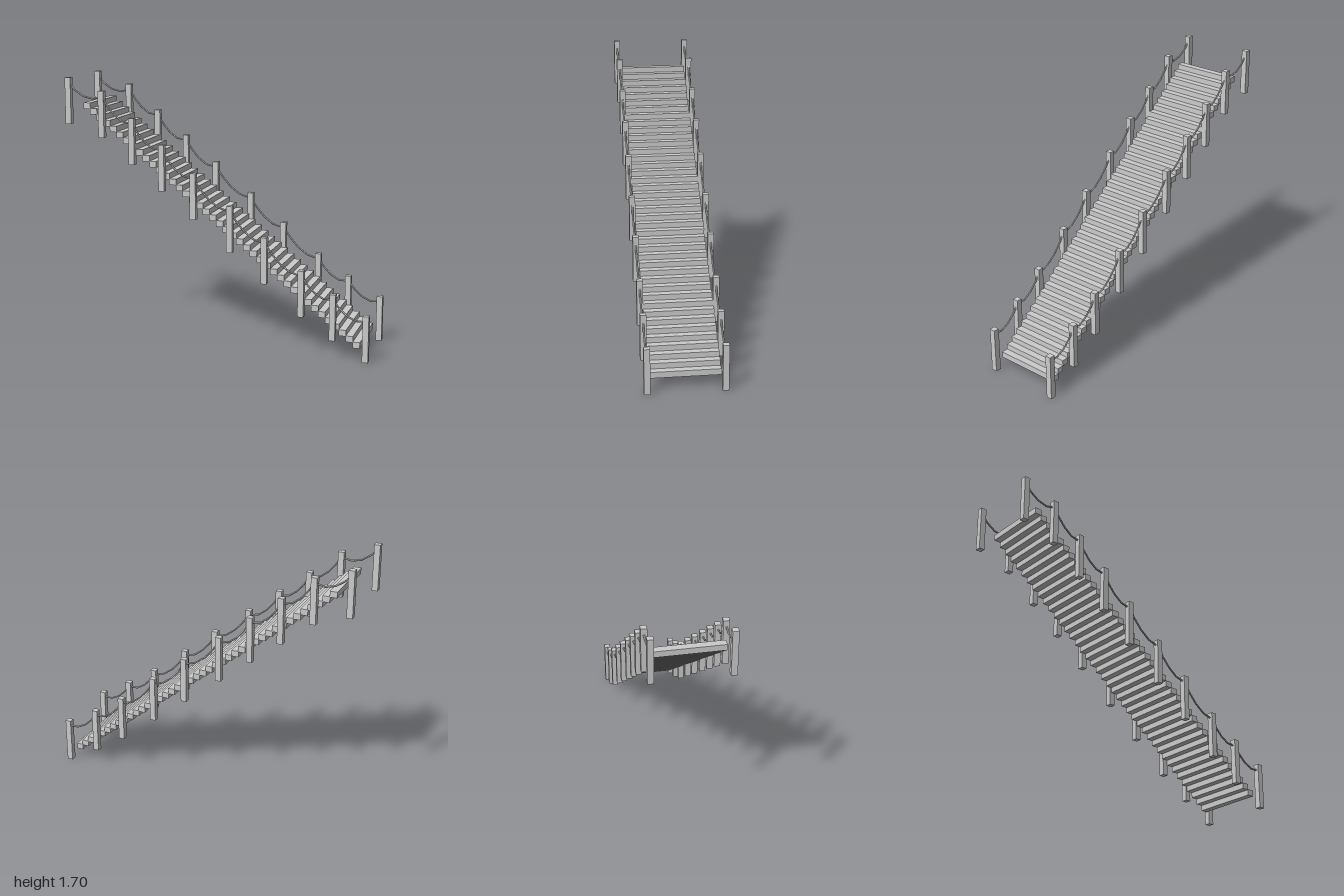
import * as THREE from 'three';

const material = new THREE.MeshStandardMaterial({ color: 0xcccccc, flatShading: true });

// Post positions along the stairs: [x, top height]
const POSTS = [
  [-0.975, 1.7], [-0.75, 1.62], [-0.547, 1.455], [-0.348, 1.295], [-0.14, 1.125],
  [0.1, 0.93], [0.325, 0.745], [0.563, 0.552], [0.765, 0.417], [0.975, 0.296],
];
const POST_HEIGHT = 0.296;
const POST_WIDTH = 0.038;
const RAIL_Z = 0.235;
const STEPS = 41;

function add(parent, name, geometry, x = 0, y = 0, z = 0) {
  const mesh = new THREE.Mesh(geometry, material);
  mesh.name = name;
  mesh.position.set(x, y, z);
  parent.add(mesh);
}

export function createModel() {
  const model = new THREE.Group();
  model.name = 'ropeRailStairs';

  // Overlapping solid treads in a straight flight
  const steps = new THREE.Group();
  steps.name = 'steps';
  const tread = new THREE.BoxGeometry(0.046, 0.039, 0.435);
  for (let i = 0; i < STEPS; i++) {
    const t = i / (STEPS - 1);
    add(steps, 'step', tread,
      THREE.MathUtils.lerp(-0.86, 0.912, t), THREE.MathUtils.lerp(1.52, 0.096, t));
  }
  model.add(steps);

  // Posts and sagging ropes on both sides
  const post = new THREE.BoxGeometry(POST_WIDTH, POST_HEIGHT, POST_WIDTH);
  for (const side of [1, -1]) {
    const rail = new THREE.Group();
    rail.name = side > 0 ? 'frontRail' : 'backRail';
    POSTS.forEach(([x, top], i) => {
      add(rail, 'post', post, x, top - POST_HEIGHT / 2, side * RAIL_Z);
      if (i === 0) return;
      const start = new THREE.Vector3(POSTS[i - 1][0], POSTS[i - 1][1] - 0.035, side * RAIL_Z);
      const end = new THREE.Vector3(x, top - 0.038, side * RAIL_Z);
      const control = start.clone().lerp(end, 0.5);
      control.y -= 0.092;
      const curve = new THREE.QuadraticBezierCurve3(start, control, end);
      add(rail, 'rope', new THREE.TubeGeometry(curve, 4, 0.006, 6));
    });
    model.add(rail);
  }

  // The whole flight is turned slightly
  model.rotation.y = -0.0256;
  const root = new THREE.Group();
  root.name = 'stairs';
  root.add(model);
  return root;
}
